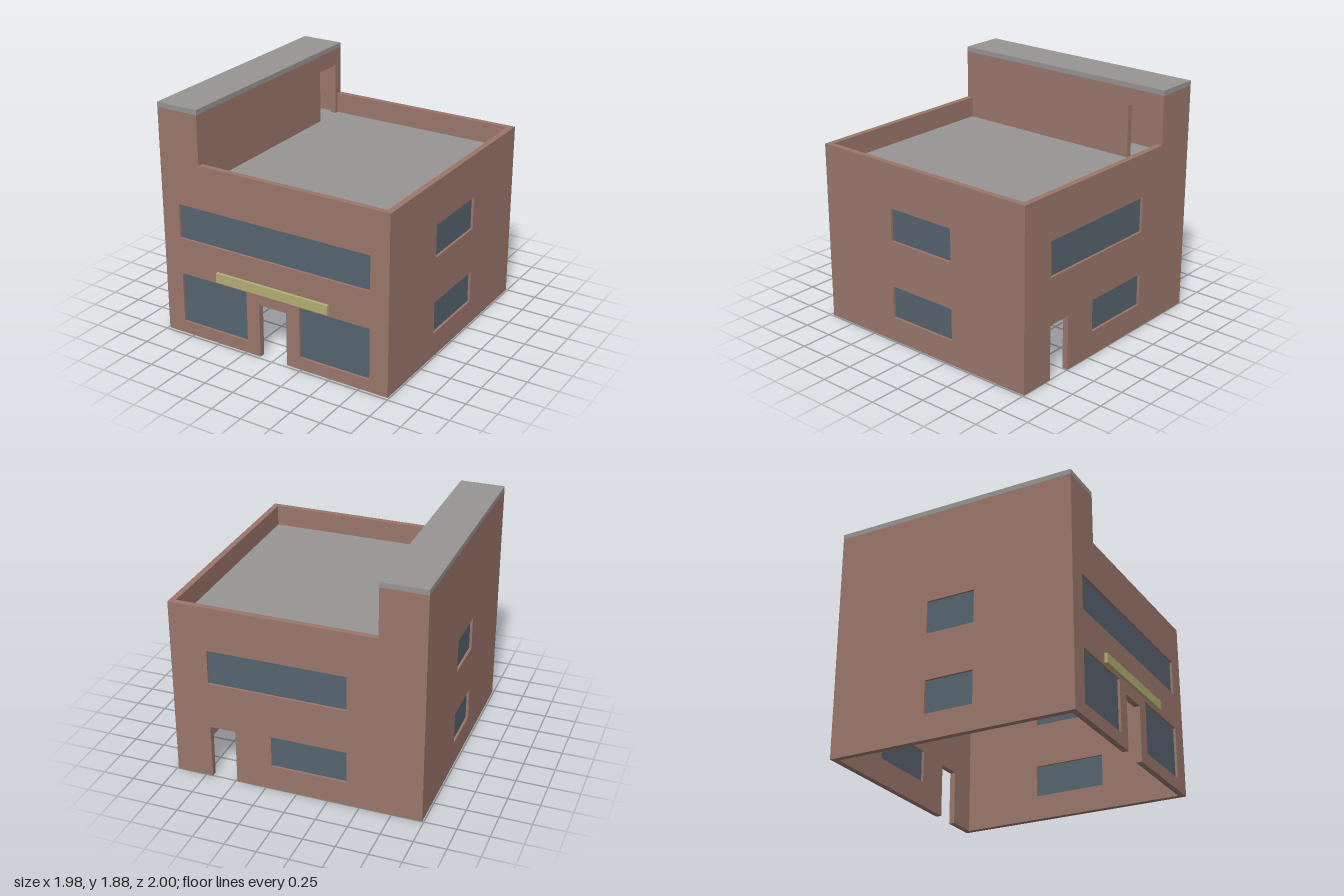
import * as THREE from 'three';

const mat = (name, color) => {
  const m = new THREE.MeshStandardMaterial({ color });
  m.name = name;
  return m;
};

export function createModel() {
  const brick = mat('brick', 0x9a766b);
  const concrete = mat('concrete', 0x979593);
  const glass = mat('glass', 0x55636f);
  const yellow = mat('signYellow', 0xb2ad73);

  const X = 0.988, ZF = 0.975, ZB = -1, T = 0.047; // outer faces and wall thickness
  const PARAPET = 1.447, TOWER = 1.84, TOP = 1.88, ROOF = 1.28;
  const TOWER_X = -0.632;
  const model = new THREE.Group();
  model.name = 'building';

  // Box given by its minimum and maximum corners
  function box(parent, name, material, [x0, y0, z0], [x1, y1, z1]) {
    const mesh = new THREE.Mesh(new THREE.BoxGeometry(x1 - x0, y1 - y0, z1 - z0), material);
    mesh.position.set((x0 + x1) / 2, (y0 + y1) / 2, (z0 + z1) / 2);
    mesh.name = name;
    parent.add(mesh);
    return mesh;
  }

  // Upright wall from an outline, with window holes [u0, u1, y0, y1] glazed mid-depth
  function wall(name, outline, windows) {
    const group = new THREE.Group();
    group.name = name;
    const shape = new THREE.Shape(outline.map(([x, y]) => new THREE.Vector2(x, y)));
    for (const [a, b, c, d] of windows) {
      shape.holes.push(new THREE.Path([[a, c], [a, d], [b, d], [b, c]].map(([x, y]) => new THREE.Vector2(x, y))));
      box(group, 'windowPane', glass, [a, c, T / 2 - 0.004], [b, d, T / 2 + 0.004]);
    }
    const mesh = new THREE.Mesh(new THREE.ExtrudeGeometry(shape, { depth: T, bevelEnabled: false }), brick);
    mesh.name = name + 'Panel';
    group.add(mesh);
    model.add(group);
    return group;
  }

  // Front and back: stepped outline with a doorway notch
  const facade = (d0, d1) => [
    [-X, 0], [d0, 0], [d0, 0.44], [d1, 0.44], [d1, 0], [X, 0],
    [X, PARAPET], [TOWER_X, PARAPET], [TOWER_X, TOWER], [-X, TOWER],
  ];
  wall('frontWall', facade(-0.12, 0.12), [
    [-0.834, 0.834, 0.815, 1.095],
    [-0.834, -0.235, 0.1, 0.518],
    [0.235, 0.834, 0.1, 0.518],
  ]).position.z = ZF - T;
  wall('backWall', facade(0.49, 0.695), [
    [-0.4, 0.695, 0.815, 1.095],
    [-0.4, 0.2, 0.2, 0.46],
  ]).position.z = ZB;

  // Side walls fit between the facades; their outline runs along z
  function sideWall(name, outerX, outline, windows) {
    const w = wall(name, outline, windows);
    w.rotation.y = -Math.PI / 2;
    w.position.x = outerX;
  }
  const z0 = ZB + T, z1 = ZF - T;
  const panel = (h) => [[z0, 0], [z1, 0], [z1, h], [z0, h]];
  const storeys = (a, b) => [[a, b, 0.2, 0.46], [a, b, 0.832, 1.095]];
  sideWall('leftWall', X, panel(PARAPET), storeys(-0.31, 0.288));
  sideWall('rightWall', -X + T, panel(TOWER), storeys(-0.21, 0.185));

  // Inner tower wall with the roof doorway
  sideWall('towerWall', TOWER_X, [
    [z0, ROOF], [-0.92, ROOF], [-0.92, 1.705], [-0.68, 1.705], [-0.68, ROOF],
    [z1, ROOF], [z1, TOWER], [z0, TOWER],
  ], []);

  // Roof slab, tower cap and sign board
  box(model, 'roofSlab', concrete, [-X + T, 1.2, z0], [X - T, ROOF, z1]);
  box(model, 'towerCap', concrete, [-X, TOWER, ZB], [TOWER_X, TOP, ZF]);
  box(model, 'signBoard', yellow, [-0.494, 0.54, ZF], [0.494, 0.616, 1]);

  return model;
}
